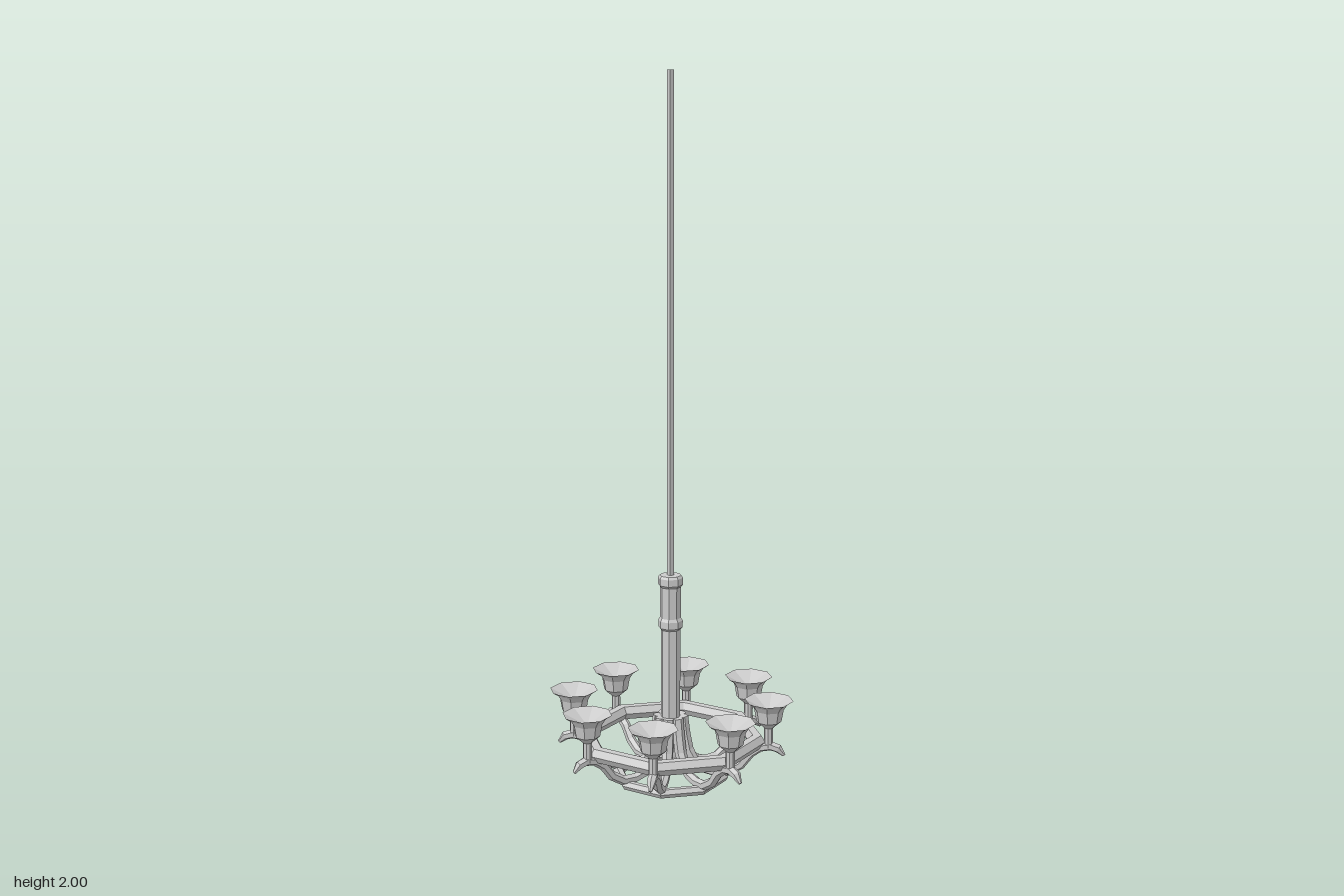
import * as THREE from 'three';

const SIDES = 8;
const material = new THREE.MeshStandardMaterial({ color: 0xcccccc, flatShading: true });

function addMesh(parent, name, geometry) {
  const mesh = new THREE.Mesh(geometry, material);
  mesh.name = name;
  parent.add(mesh);
  return mesh;
}

// Eight-sided turned part from [radius, height] pairs
function turned(profile) {
  return new THREE.LatheGeometry(profile.map(([r, y]) => new THREE.Vector2(r, y)), SIDES);
}

// Octagonal hoop with a six-sided section
function hoop(radius, y, halfWidth, halfHeight) {
  const profile = [];
  for (let i = 0; i <= 6; i++) {
    const a = (i / 6) * Math.PI * 2;
    profile.push([radius + halfWidth * Math.cos(a), y + halfHeight * Math.sin(a) / 0.866]);
  }
  return turned(profile);
}

// Tapered six-sided bar along [x, y, thickness] stations in the xy plane
function sweptBar(stations) {
  const n = 6, positions = [], index = [];
  const last = stations.length - 1;
  stations.forEach(([x, y, r], i) => {
    const a = stations[Math.max(i - 1, 0)], b = stations[Math.min(i + 1, last)];
    const t = new THREE.Vector2(b[0] - a[0], b[1] - a[1]).normalize();
    for (let j = 0; j < n; j++) {
      const angle = ((j + 0.5) / n) * Math.PI * 2;
      const u = r * Math.cos(angle), v = r * Math.sin(angle);
      positions.push(x - t.y * v, y + t.x * v, u);
    }
  });
  for (let i = 0; i < last; i++) {
    for (let j = 0; j < n; j++) {
      const a = i * n + j, b = i * n + (j + 1) % n;
      index.push(a, a + n, b, b, a + n, b + n);
    }
  }
  // End caps
  for (let j = 1; j < n - 1; j++) {
    index.push(0, j, j + 1);
    index.push(last * n, last * n + j + 1, last * n + j);
  }
  const geometry = new THREE.BufferGeometry();
  geometry.setAttribute('position', new THREE.Float32BufferAttribute(positions, 3));
  geometry.setIndex(index);
  geometry.computeVertexNormals();
  return geometry;
}

export function createModel() {
  const model = new THREE.Group();
  model.name = 'chandelier';

  // Square hanging rod
  const rod = addMesh(model, 'hangingRod', new THREE.BoxGeometry(0.014, 1.41, 0.014));
  rod.position.y = 1.295;

  // Central column with a collar and a cap
  addMesh(model, 'column', turned([
    [0, 0.03], [0.018, 0.04], [0.028, 0.07], [0.028, 0.445],
    [0.035, 0.452], [0.035, 0.472], [0.03, 0.48], [0.03, 0.57],
    [0.036, 0.577], [0.036, 0.597], [0.031, 0.604], [0, 0.604],
  ]));

  // Upper and lower hoops
  addMesh(model, 'upperHoop', hoop(0.25, 0.124, 0.024, 0.019));
  addMesh(model, 'lowerHoop', hoop(0.153, 0.012, 0.015, 0.012));

  // Curved arm ending in a drooping hook
  const armGeometry = sweptBar([
    [0.035, 0.188, 0.016], [0.041, 0.135, 0.017], [0.05, 0.09, 0.017],
    [0.068, 0.055, 0.016], [0.093, 0.035, 0.014], [0.125, 0.027, 0.014],
    [0.165, 0.029, 0.014], [0.203, 0.052, 0.014], [0.23, 0.088, 0.014],
    [0.258, 0.108, 0.014], [0.288, 0.114, 0.014], [0.311, 0.107, 0.013],
    [0.328, 0.088, 0.005],
  ]);

  // Stem and flared cup with a sunken top
  const cupGeometry = turned([
    [0, 0.11], [0.013, 0.11], [0.013, 0.168], [0.022, 0.176],
    [0.036, 0.188], [0.042, 0.222], [0.052, 0.238], [0.07, 0.25],
    [0, 0.216],
  ]);

  for (let i = 0; i < SIDES; i++) {
    const branch = new THREE.Group();
    branch.name = 'branch' + (i + 1);
    branch.rotation.y = (i / SIDES) * Math.PI * 2;
    addMesh(branch, 'arm', armGeometry);
    addMesh(branch, 'cup', cupGeometry).position.x = 0.283;
    model.add(branch);
  }

  return model;
}
